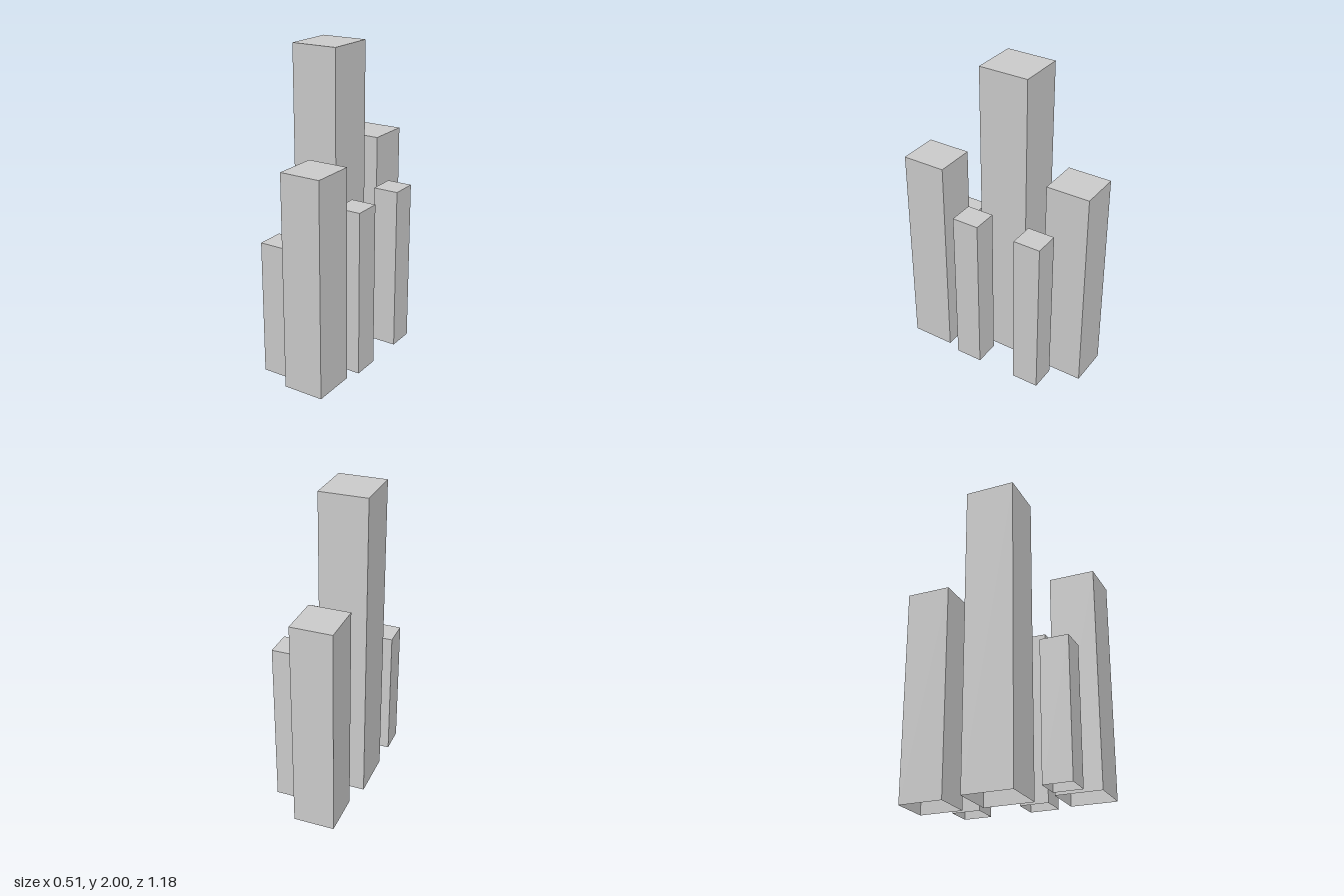
import * as THREE from 'three';

const material = new THREE.MeshStandardMaterial({ color: 0xcccccc, flatShading: true, side: THREE.DoubleSide });

// Upright block standing on the ground, with walls and roof but an open underside
function tower(name, width, height, depth, x, z) {
  const geometry = new THREE.BoxGeometry(width, height, depth);
  const index = Array.from(geometry.index.array);
  index.splice(18, 6); // drop the bottom face
  geometry.setIndex(index);
  geometry.clearGroups();
  geometry.translate(0, height / 2, 0);
  const mesh = new THREE.Mesh(geometry, material);
  mesh.name = name;
  mesh.position.set(x, 0, z);
  return mesh;
}

export function createModel() {
  const group = new THREE.Group();
  group.name = 'towerCluster';

  // Tallest tower in the middle
  group.add(tower('mainTower', 0.3, 2, 0.322, -0.103, -0.008));

  // Two medium towers, front and back
  for (const [name, x, z] of [['frontTower', 0.096, 0.448], ['backTower', -0.078, -0.45]]) {
    group.add(tower(name, 0.261, 1.365, 0.281, x, z));
  }

  // Three slim low towers
  for (const [name, height, x, z] of [
    ['leftLowTower', 1.065, 0.174, 0.131],
    ['backLowTower', 1.065, 0.174, -0.305],
    ['frontLowTower', 0.86, -0.176, 0.409],
  ]) {
    group.add(tower(name, 0.165, height, 0.177, x, z));
  }
  return group;
}
